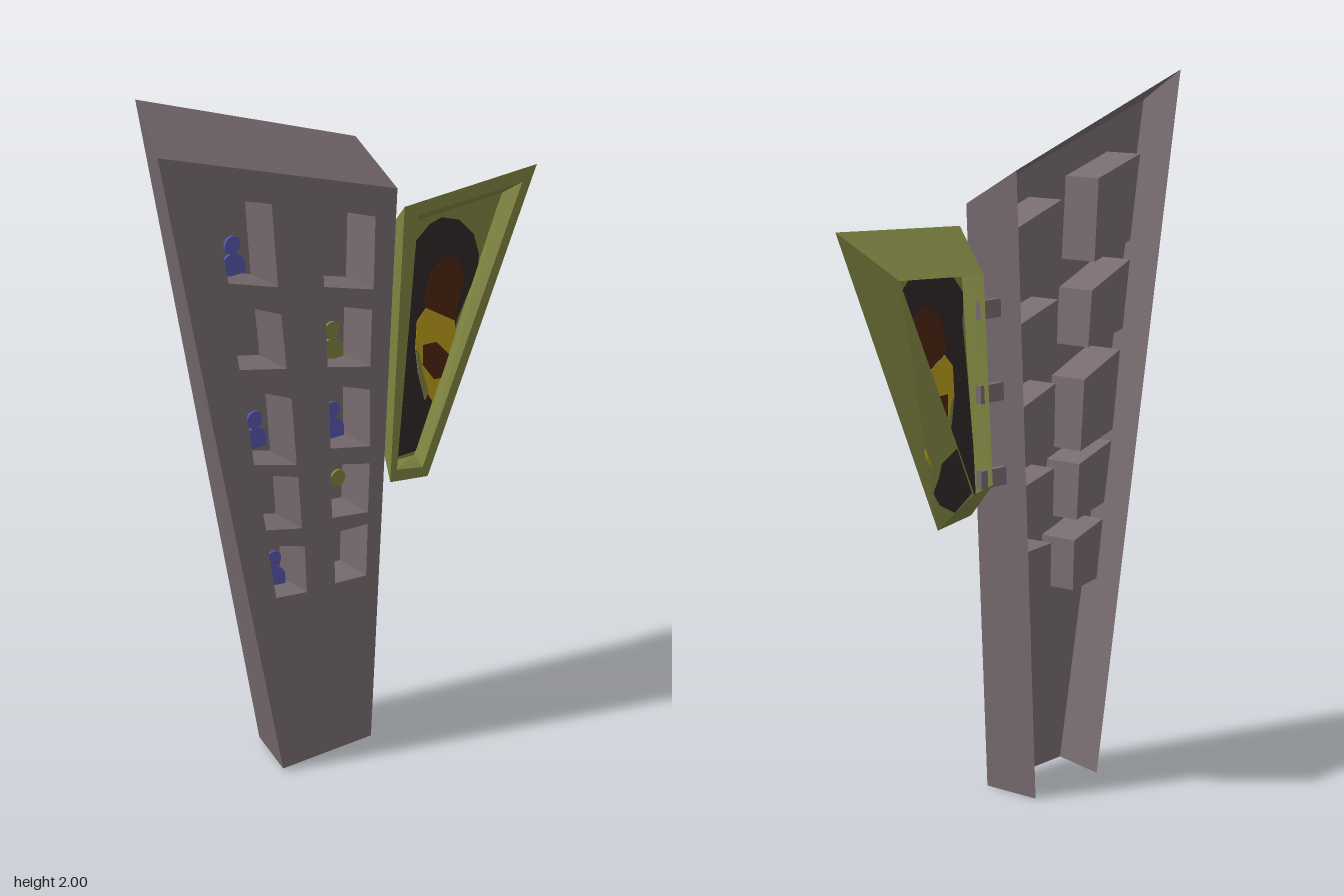
import * as THREE from 'three';

const mat = (name, color) => {
  const m = new THREE.MeshStandardMaterial({ color, side: THREE.DoubleSide });
  m.name = name;
  return m;
};

// A surface made of separate flat four-cornered faces
function quads(name, faces, material) {
  const pos = [];
  for (const [a, b, c, d] of faces) pos.push(...a, ...b, ...c, ...a, ...c, ...d);
  const g = new THREE.BufferGeometry();
  g.setAttribute('position', new THREE.Float32BufferAttribute(pos, 3));
  g.computeVertexNormals();
  const mesh = new THREE.Mesh(g, material);
  mesh.name = name;
  return mesh;
}

const toShape = (pts) => new THREE.Shape(pts.map(([x, y]) => new THREE.Vector2(x, y)));
const atZ = (pts, z) => pts.map(([x, y]) => [x, y, z]);

// Strips joining two outlines with equal corner counts
const band = (a, b) => a.map((p, i) => {
  const j = (i + 1) % a.length;
  return [p, a[j], b[j], b[i]];
});

// A thin plate centred on depth z
function plate(name, shape, z, depth, material) {
  const g = new THREE.ExtrudeGeometry(shape, { depth, bevelEnabled: false, curveSegments: 12 });
  const mesh = new THREE.Mesh(g.translate(0, 0, z - depth / 2), material);
  mesh.name = name;
  return mesh;
}

// Round head above an arched body
function person(x, y, material, turn = 0) {
  const group = new THREE.Group();
  group.name = 'windowPerson';
  const body = new THREE.Shape();
  body.moveTo(-0.039, 0);
  body.lineTo(0.039, 0);
  body.lineTo(0.039, 0.025);
  body.absarc(0, 0.022, 0.039, 0, Math.PI, false);
  const head = new THREE.Shape();
  head.absarc(0, 0.084, 0.025, 0, Math.PI * 2, false);
  group.add(plate('personBody', body, 0, 0.008, material), plate('personHead', head, 0, 0.008, material));
  group.position.set(x, y, 0.01);
  group.rotation.z = turn;
  return group;
}

export function createModel() {
  const model = new THREE.Group();
  model.name = 'leaningTowerWithSign';
  const grey = mat('wall grey', 0x776b6f);
  const olive = mat('sign olive', 0x7d8240);
  const blue = mat('person blue', 0x5555a8);
  const dark = mat('picture dark', 0x302527);
  const brown = mat('picture brown', 0x4a2610);
  const yellow = mat('picture yellow', 0xb89a18);

  // Tower shell, open at the back and below
  const front = [[-0.27, 0.01], [0.05, 0], [0.13, 1.66], [-0.64, 1.905]];
  const back = [[-0.22, 0.01], [0.05, 0], [0.13, 1.76], [-0.58, 2]];
  const F = 0.09, B = -0.09;
  const walls = band(atZ(front, F), atZ(back, B)).slice(1);
  model.add(quads('towerWalls', walls, grey));

  // Window outlines, each from top left clockwise
  const windows = [
    [[-0.474, 1.765], [-0.289, 1.708], [-0.272, 1.475], [-0.431, 1.523]],
    [[-0.431, 1.468], [-0.262, 1.395], [-0.246, 1.236], [-0.4, 1.273]],
    [[-0.389, 1.214], [-0.23, 1.146], [-0.214, 0.944], [-0.357, 0.987]],
    [[-0.352, 0.955], [-0.209, 0.907], [-0.198, 0.748], [-0.32, 0.78]],
    [[-0.315, 0.732], [-0.188, 0.69], [-0.182, 0.546], [-0.288, 0.562]],
    [[-0.13, 1.66], [0.055, 1.597], [0.05, 1.39], [-0.119, 1.438]],
    [[-0.114, 1.385], [0.045, 1.332], [0.04, 1.167], [-0.108, 1.204]],
    [[-0.103, 1.151], [0.04, 1.098], [0.04, 0.928], [-0.098, 0.96]],
    [[-0.098, 0.912], [0.04, 0.875], [0.034, 0.727], [-0.093, 0.748]],
    [[-0.087, 0.7], [0.034, 0.69], [0.029, 0.53], [-0.082, 0.541]],
  ];
  const facade = toShape(front);
  facade.holes = windows.map((w) => new THREE.Path(w.map(([x, y]) => new THREE.Vector2(x, y))));
  const facadeMesh = new THREE.Mesh(new THREE.ShapeGeometry(facade).translate(0, 0, F), grey);
  facadeMesh.name = 'facade';
  model.add(facadeMesh);

  // Recessed boxes behind the windows
  const recess = -0.03;
  for (const w of windows) {
    const rear = atZ(w, recess);
    model.add(quads('windowRecess', [...band(rear, atZ(w, F)), [...rear].reverse()], grey));
  }

  // Figures standing in the windows
  for (const [x, y] of [[-0.36, 1.505], [-0.297, 0.99], [-0.238, 0.55], [-0.03, 0.945]]) {
    model.add(person(x, y, blue));
  }
  model.add(person(-0.032, 1.183, olive));
  model.add(person(-0.095, 0.817, olive, -Math.PI / 2));

  // Sign: tapered outer hull, front rim, inner walls and picture panel
  const signFront = [[0.114, 0.796], [0.251, 0.775], [0.632, 1.623], [0.156, 1.602]];
  const signBack = [[0.18, 0.91], [0.255, 0.895], [0.54, 1.5], [0.215, 1.485]];
  const opening = [[0.138, 0.828], [0.232, 0.808], [0.58, 1.582], [0.204, 1.566]];
  const panel = [[0.143, 0.833], [0.237, 0.828], [0.545, 1.545], [0.204, 1.53]];
  const panelZ = 0.045;
  model.add(quads('signHull', band(atZ(signFront, F), atZ(signBack, -0.048)), olive));
  model.add(quads('signRim', band(atZ(signFront, F), atZ(opening, F)), olive));
  model.add(quads('signInnerWalls', band(atZ(opening, F), atZ(panel, panelZ)), olive));
  model.add(quads('signPanel', [atZ(panel, panelZ)], olive));

  // Picture layers, showing on both sides of the panel
  const darkArea = [[0.146, 0.84], [0.243, 0.84], [0.31, 0.98], [0.352, 1.1], [0.39, 1.21], [0.432, 1.285],
    [0.463, 1.33], [0.463, 1.385], [0.442, 1.448], [0.389, 1.501], [0.325, 1.522], [0.283, 1.512],
    [0.235, 1.475], [0.196, 1.43], [0.198, 1.342], [0.177, 1.183], [0.156, 0.997]];
  const upperBrown = [[0.272, 1.23], [0.267, 1.3], [0.288, 1.37], [0.34, 1.405], [0.39, 1.385],
    [0.41, 1.326], [0.39, 1.252], [0.378, 1.18]];
  const yellowArea = [[0.24, 1.235], [0.272, 1.268], [0.378, 1.204], [0.384, 1.13], [0.362, 1.066],
    [0.341, 0.992], [0.315, 0.955], [0.278, 1.013], [0.257, 1.088], [0.235, 1.156]];
  const brownStripe = [[0.262, 1.16], [0.31, 1.157], [0.365, 1.1], [0.352, 1.04], [0.304, 1.045], [0.262, 1.1]];
  const sliver = [[0.235, 1.156], [0.248, 1.14], [0.262, 1.08], [0.284, 1.01], [0.272, 0.99], [0.246, 1.08]];
  model.add(plate('pictureDark', toShape(darkArea), panelZ, 0.003, dark));
  model.add(plate('pictureBrown', toShape(upperBrown), panelZ, 0.005, brown));
  model.add(plate('pictureYellow', toShape(yellowArea), panelZ, 0.007, yellow));
  model.add(plate('pictureStripe', toShape(brownStripe), panelZ, 0.009, brown));
  model.add(plate('pictureSliver', toShape(sliver), panelZ, 0.0095, olive));

  // Dark patch on the lower outer side of the sign, as (z, y) laid on the slanted hull
  const patch = [[-0.045, 1.08], [-0.045, 0.9], [0.022, 0.835], [0.058, 0.855], [0.064, 0.89],
    [0.032, 0.94], [0.01, 0.985], [-0.005, 1.05]];
  const patchGeo = new THREE.ShapeGeometry(toShape(patch));
  const p = patchGeo.attributes.position;
  const corners = [signFront[1], signFront[2], signBack[1]].map((c, i) => new THREE.Vector3(c[0], c[1], i < 2 ? F : -0.048));
  const plane = new THREE.Plane().setFromCoplanarPoints(...corners);
  for (const offset of [0.003, -0.003]) {
    const g = patchGeo.clone();
    for (let i = 0; i < p.count; i++) {
      const z = p.getX(i), y = p.getY(i);
      const x = -(plane.constant + plane.normal.y * y + plane.normal.z * z) / plane.normal.x;
      g.attributes.position.setXYZ(i, x + offset, y, z);
    }
    g.computeVertexNormals();
    const mesh = new THREE.Mesh(g, dark);
    mesh.name = 'signSidePatch';
    model.add(mesh);
  }

  // Brackets holding the sign to the tower
  for (const y of [1.385, 1.155, 0.92]) {
    const bracket = new THREE.Mesh(new THREE.BoxGeometry(0.11, 0.05, 0.018), grey);
    bracket.name = 'signBracket';
    bracket.position.set(0.14, y, -0.011);
    model.add(bracket);
  }
  return model;
}
